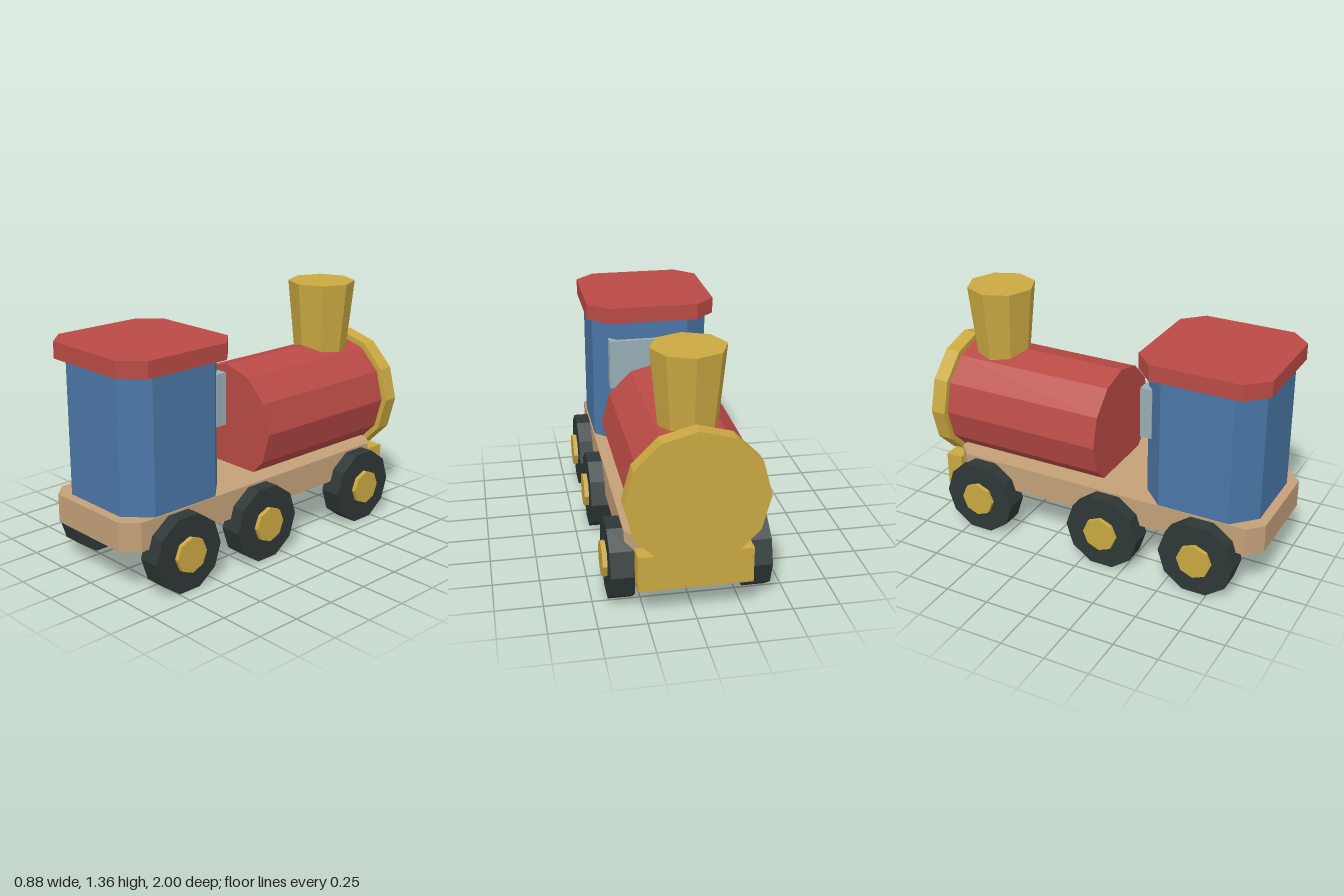
import * as THREE from 'three';

const paint = (name, color) => {
  const m = new THREE.MeshStandardMaterial({ color, flatShading: true });
  m.name = name;
  return m;
};

// Upright block with four cut corners, spanning y0..y1 and z0..z1
function cutCornerBlock(halfWidth, y0, y1, z0, z1, cut) {
  const w = halfWidth, d = (z1 - z0) / 2;
  const outline = [
    [w, -d + cut], [w, d - cut], [w - cut, d], [-w + cut, d],
    [-w, d - cut], [-w, -d + cut], [-w + cut, -d], [w - cut, -d],
  ].map(([x, y]) => new THREE.Vector2(x, y));
  return new THREE.ExtrudeGeometry(new THREE.Shape(outline), { depth: y1 - y0, bevelEnabled: false })
    .rotateX(-Math.PI / 2)
    .translate(0, y0, (z0 + z1) / 2);
}

// Plain box given by its extents
function block(halfWidth, y0, y1, z0, z1) {
  return new THREE.BoxGeometry(2 * halfWidth, y1 - y0, z1 - z0)
    .translate(0, (y0 + y1) / 2, (z0 + z1) / 2);
}

// Cylinder lying along z
function barrel(radius, y, z0, z1) {
  return new THREE.CylinderGeometry(radius, radius, z1 - z0, 12)
    .rotateX(Math.PI / 2)
    .translate(0, y, (z0 + z1) / 2);
}

// Cylinder lying along x, from x0 to x1
function disc(radius, sides, x0, x1) {
  return new THREE.CylinderGeometry(radius, radius, x1 - x0, sides)
    .rotateZ(Math.PI / 2)
    .translate((x0 + x1) / 2, 0, 0);
}

export function createModel() {
  const red = paint('red', 0xb94a45);
  const blue = paint('blue', 0x4a76a6);
  const brass = paint('brass', 0xcaa841);
  const wood = paint('wood', 0xc3a078);
  const rubber = paint('dark rubber', 0x2e3737);
  const glass = paint('pale glass', 0x97adb5);

  const model = new THREE.Group();
  model.name = 'toyLocomotive';
  const add = (name, geometry, material, parent = model) => {
    const mesh = new THREE.Mesh(geometry, material);
    mesh.name = name;
    parent.add(mesh);
    return mesh;
  };

  // Wooden base and buffer beam
  add('base', cutCornerBlock(0.336, 0.265, 0.422, -0.877, 1, 0.08), wood);
  add('bufferBeam', block(0.295, 0.168, 0.362, -0.968, -0.87), brass);

  // Cabin, roof and window
  add('cabin', cutCornerBlock(0.33, 0.42, 1.157, 0.295, 0.948, 0.125), blue);
  add('roof', cutCornerBlock(0.364, 1.155, 1.244, 0.258, 0.985, 0.11), red);
  add('window', block(0.25, 0.762, 1.047, 0.268, 0.336), glass);

  // Boiler, its end cap and the flared chimney
  add('boiler', barrel(0.333, 0.663, -0.92, 0.032), red);
  add('boilerCap', barrel(0.365, 0.664, -1, -0.912), brass);
  const chimney = new THREE.CylinderGeometry(0.193, 0.147, 0.46, 8);
  add('chimney', chimney.translate(0, 1.13, -0.725), brass);

  // Three pairs of wheels with hubs
  const tyre = disc(0.215, 10, 0.292, 0.417);
  const hub = disc(0.097, 8, 0.4, 0.442);
  for (const z of [0.678, 0.12, -0.67]) {
    for (const turn of [0, Math.PI]) {
      const wheel = new THREE.Group();
      wheel.name = turn ? 'rightWheel' : 'leftWheel';
      add('tyre', tyre, rubber, wheel);
      add('hub', hub, brass, wheel);
      wheel.rotation.y = turn;
      wheel.position.set(0, 0.206, z);
      model.add(wheel);
    }
  }
  return model;
}
